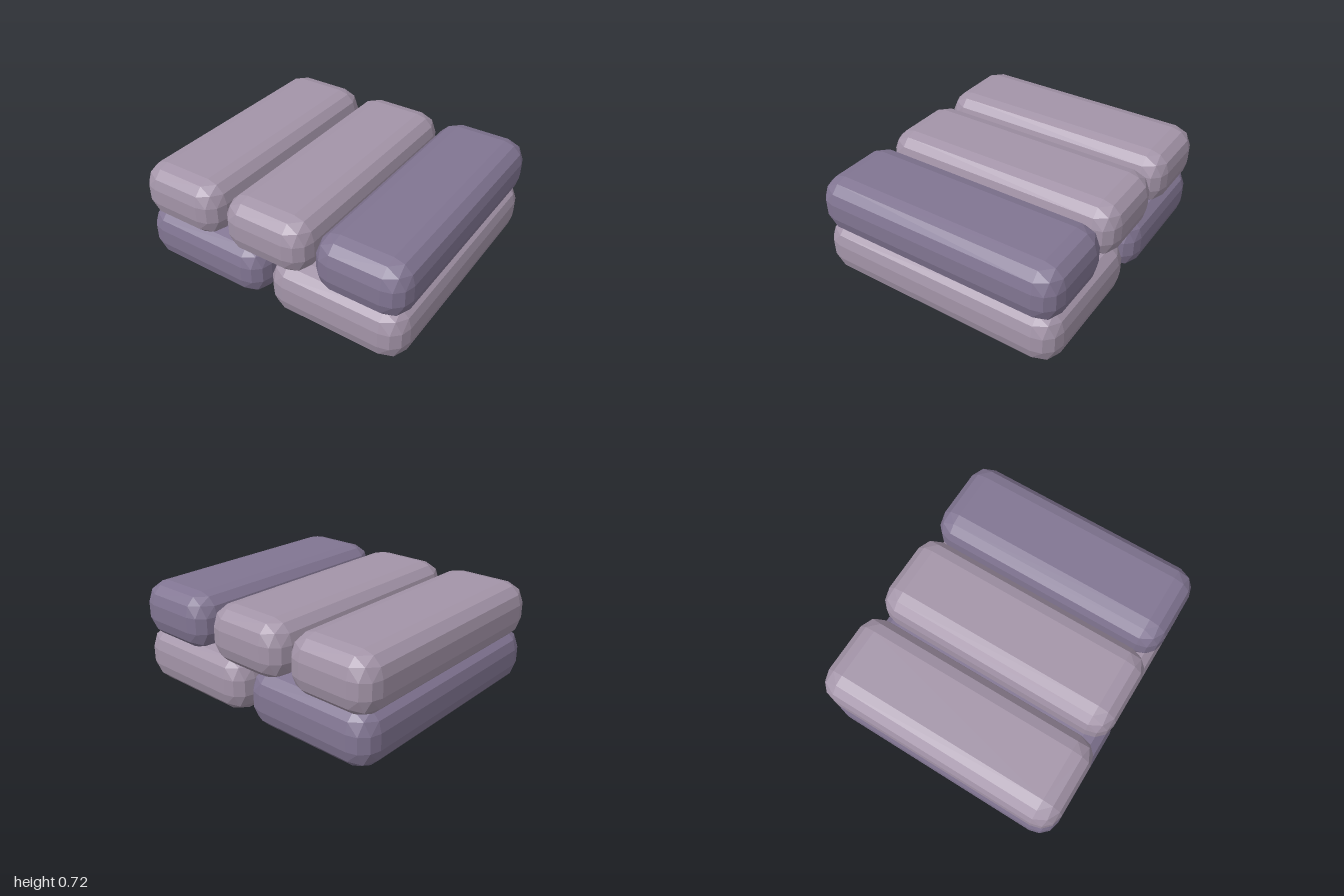
import * as THREE from 'three';
import { ConvexGeometry } from 'three/addons/geometries/ConvexGeometry.js';

const DEPTH = 1.77;
const HEIGHT = 0.393;
const BEVEL = 0.142;
const STEPS = 3; // facets per rounded edge

// Hull of eight rounded corners: a block with three-facet bevels
function bevelledBlock(w, h, d, r) {
  const points = [];
  const s = (i) => Math.sin((i / STEPS) * Math.PI / 2);
  for (const sx of [-1, 1]) for (const sy of [-1, 1]) for (const sz of [-1, 1]) {
    for (let i = 0; i <= STEPS; i++) {
      for (let j = 0; j <= STEPS - i; j++) {
        const n = new THREE.Vector3(s(i), s(j), s(STEPS - i - j)).normalize().multiplyScalar(r);
        points.push(new THREE.Vector3(
          sx * (w / 2 - r + n.x),
          sy * (h / 2 - r + n.y),
          sz * (d / 2 - r + n.z)));
      }
    }
  }
  return new ConvexGeometry(points);
}

export function createModel() {
  const group = new THREE.Group();
  const light = new THREE.MeshStandardMaterial({ color: 0xa394a8, flatShading: true });
  const dark = new THREE.MeshStandardMaterial({ color: 0x817592, flatShading: true });

  function addRow(width, bottom, blocks) {
    const geometry = bevelledBlock(width, HEIGHT, DEPTH, BEVEL);
    for (const [name, x, material] of blocks) {
      const mesh = new THREE.Mesh(geometry, material);
      mesh.name = name;
      mesh.position.set(x, bottom + HEIGHT / 2, 0);
      group.add(mesh);
    }
  }

  // Two wide blocks below
  addRow(0.973, 0, [
    ['lowerRightBlock', -0.51, dark],
    ['lowerLeftBlock', 0.51, light],
  ]);
  // Three narrower blocks above, sunk slightly into the lower row
  addRow(0.637, 0.33, [
    ['upperRightBlock', -0.6815, light],
    ['upperMiddleBlock', 0, light],
    ['upperLeftBlock', 0.6815, dark],
  ]);
  return group;
}
